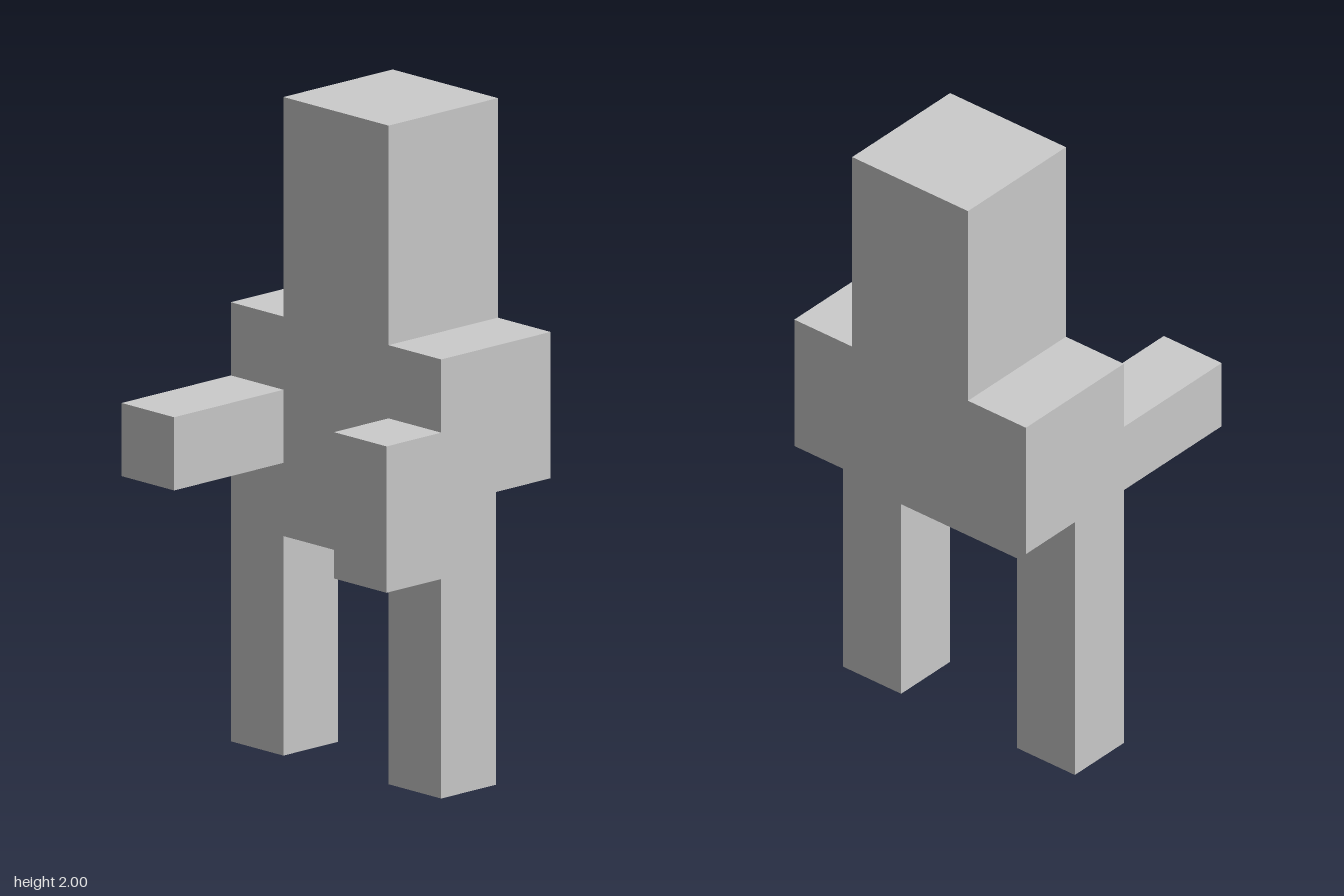
import * as THREE from 'three';

// Everything sits on a grid of nine units to the full height.
const U = 2 / 9;

export function createModel() {
  const model = new THREE.Group();
  const material = new THREE.MeshStandardMaterial({ color: 0xcccccc, flatShading: true });

  function add(name, geometry) {
    const mesh = new THREE.Mesh(geometry, material);
    mesh.name = name;
    model.add(mesh);
  }

  // Box given by its lower and upper corners, in grid units.
  function block(name, [x0, y0, z0], [x1, y1, z1]) {
    const geometry = new THREE.BoxGeometry(x1 - x0, y1 - y0, z1 - z0);
    geometry.translate((x0 + x1) / 2, (y0 + y1) / 2, (z0 + z1) / 2);
    add(name, geometry.scale(U, U, U));
  }

  // Torso: deep chest over a shallower waist, an L-shaped side profile swept across x.
  const profile = new THREE.Shape(
    [[0, 3], [1, 3], [1, 4], [2, 4], [2, 6], [0, 6]].map(([x, y]) => new THREE.Vector2(x, y))
  );
  const torso = new THREE.ExtrudeGeometry(profile, { depth: 4, bevelEnabled: false });
  torso.translate(0, 0, -2).rotateY(Math.PI / 2).scale(U, U, U);
  add('torso', torso);

  block('head', [-1, 6, -2], [1, 9, 0]);

  // Legs
  block('rightLeg', [-2, 0, -1], [-1, 3, 0]);
  block('leftLeg', [1, 0, -1], [2, 3, 0]);

  // Right arm reaches forward, left arm hangs in front of the torso.
  block('rightArm', [-2, 4, 0], [-1, 5, 2]);
  block('leftArm', [1, 3, 0], [2, 5, 1]);

  return model;
}
